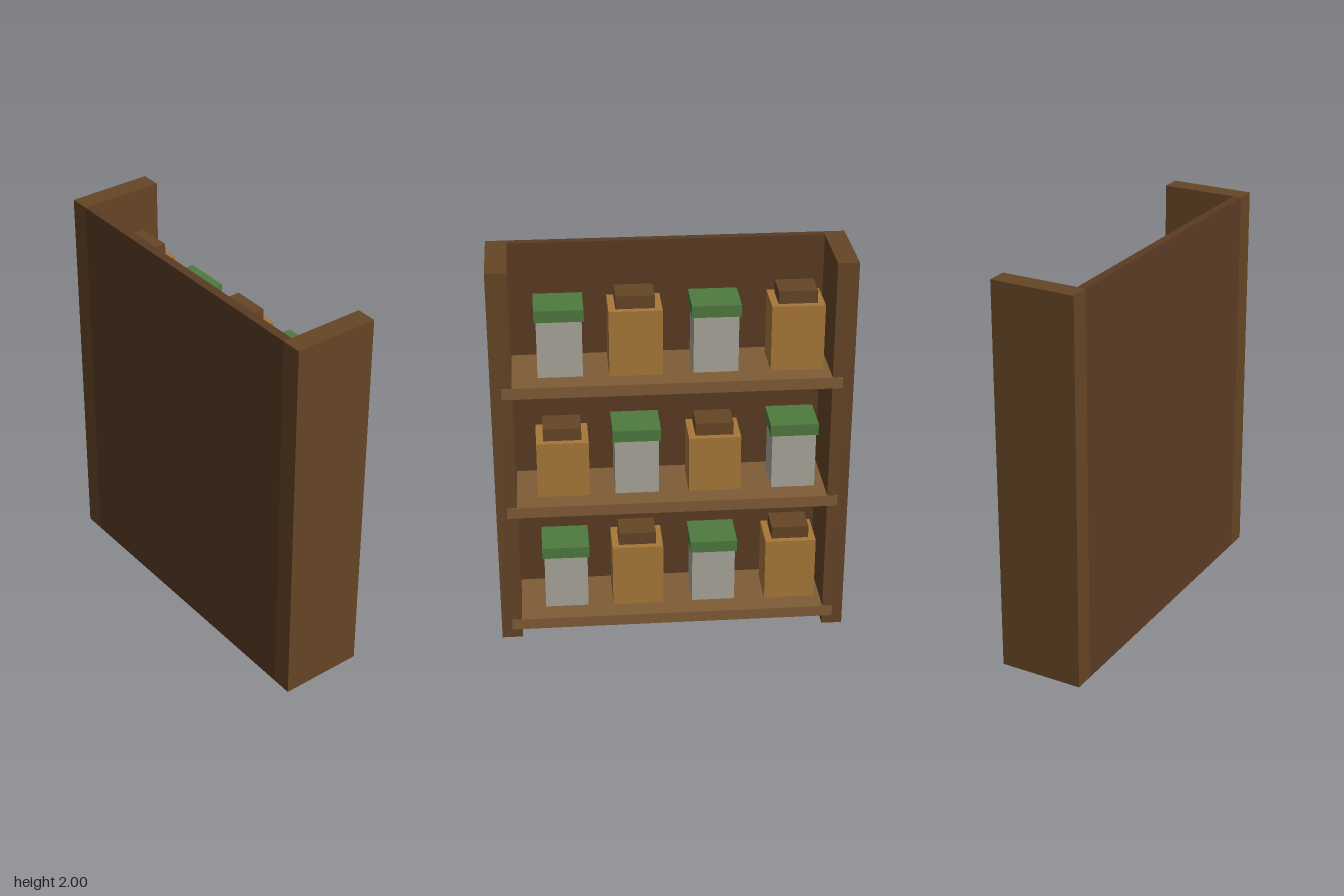
import * as THREE from 'three';

const material = (color) => new THREE.MeshStandardMaterial({ color });

const wood = material(0x654526);
const panelWood = material(0x5a3b24);
const shelfWood = material(0x805c37);
const amber = material(0xa87838);
const green = material(0x4f7a3f);
const glass = material(0xaaa79b);

// Box given by its size and the centre of its bottom face
function box(parent, name, mat, [w, h, d], [x, y, z]) {
  const mesh = new THREE.Mesh(new THREE.BoxGeometry(w, h, d), mat);
  mesh.name = name;
  mesh.position.set(x, y + h / 2, z);
  parent.add(mesh);
}

// Wide amber jar with a small wooden stopper
function amberJar(bodyHeight) {
  const jar = new THREE.Group();
  jar.name = 'amberJar';
  box(jar, 'jarBody', amber, [0.26, bodyHeight, 0.22], [0, 0, 0]);
  box(jar, 'jarStopper', wood, [0.19, 0.065, 0.155], [0, bodyHeight, 0]);
  return jar;
}

// Pale jar with an overhanging green lid
function paleJar() {
  const jar = new THREE.Group();
  jar.name = 'paleJar';
  box(jar, 'jarBody', glass, [0.22, 0.292, 0.205], [0, 0, 0]);
  box(jar, 'jarLid', green, [0.24, 0.06, 0.225], [0, 0.292, 0]);
  return jar;
}

export function createModel() {
  const model = new THREE.Group();
  model.name = 'jarShelf';

  // Upright sides and the closing panel on the front
  for (const side of [-1, 1]) {
    box(model, side > 0 ? 'leftSide' : 'rightSide', wood, [0.104, 2, 0.432], [side * 0.827, 0, 0]);
  }
  box(model, 'panel', panelWood, [1.55, 2, 0.044], [0, 0, 0.194]);

  // Three shelves, let into the sides, each with a row of alternating jars
  const jarX = [0.54, 0.172, -0.218, -0.615];
  [0.105, 0.757, 1.41].forEach((top, row) => {
    box(model, 'shelf', shelfWood, [1.652, 0.058, 0.391], [0, top - 0.058, -0.0235]);
    jarX.forEach((x, i) => {
      const jar = (row + i) % 2 ? amberJar(row === 1 ? 0.295 : 0.336) : paleJar();
      jar.position.set(x, top, -0.003);
      model.add(jar);
    });
  });

  return model;
}
